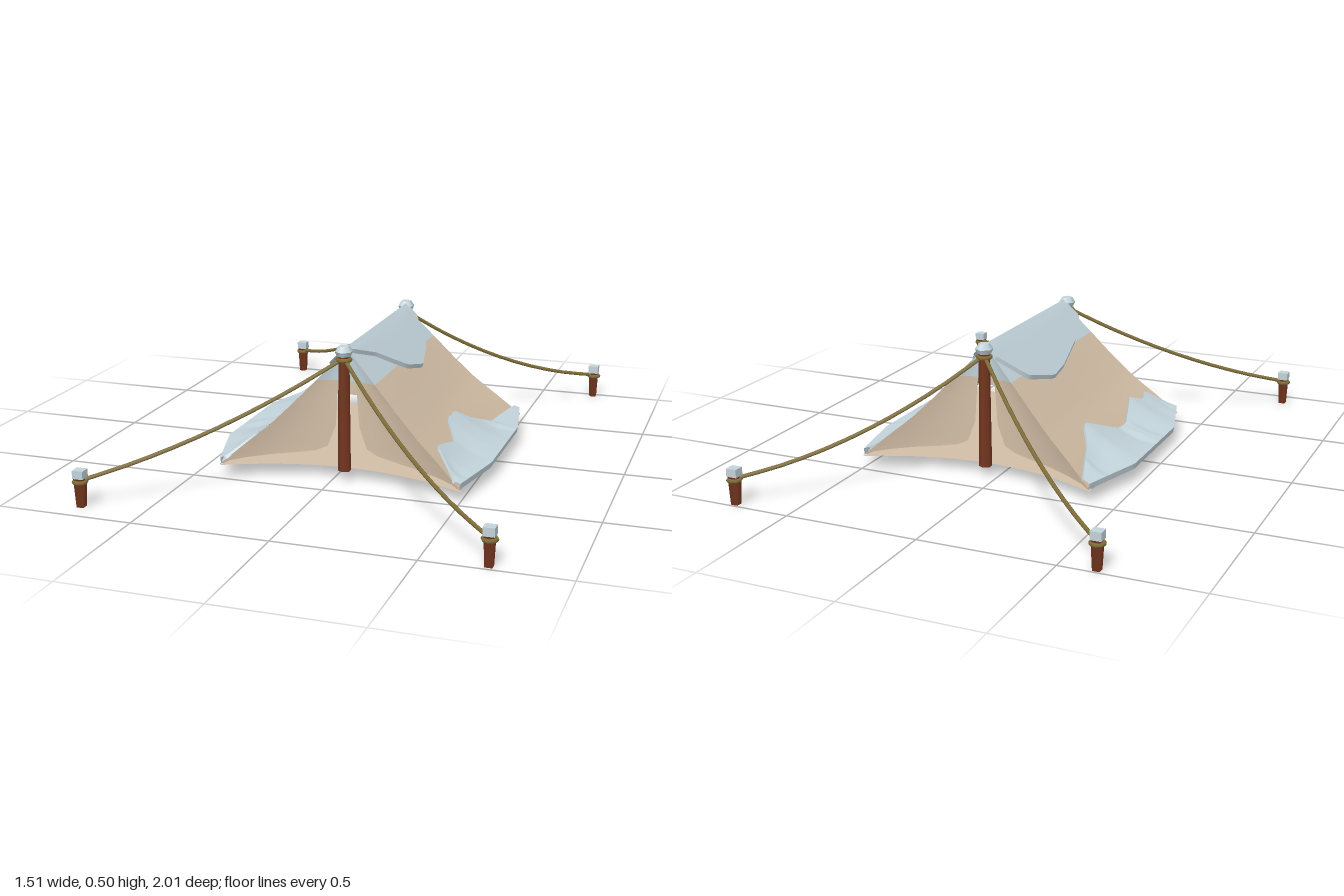
import * as THREE from 'three';
import { toCreasedNormals } from 'three/addons/utils/BufferGeometryUtils.js';

const mat = (name, color, side = THREE.FrontSide) => {
  const m = new THREE.MeshStandardMaterial({ color, side });
  m.name = name;
  return m;
};

// piecewise-linear lookup in [key, value] pairs with ascending keys
function lookup(pts, k) {
  if (k <= pts[0][0]) return pts[0][1];
  for (let i = 1; i < pts.length; i++) {
    const [a, va] = pts[i - 1], [b, vb] = pts[i];
    if (k <= b) return va + (vb - va) * (k - a) / (b - a);
  }
  return pts[pts.length - 1][1];
}

// surface from a grid of points; fn(u, v) with u, v in 0..1
function sheet(nu, nv, fn, crease = 0.7) {
  const pos = [], idx = [];
  for (let j = 0; j <= nv; j++) for (let i = 0; i <= nu; i++) pos.push(...fn(i / nu, j / nv));
  for (let j = 0; j < nv; j++) for (let i = 0; i < nu; i++) {
    const a = j * (nu + 1) + i, c = a + nu + 1;
    idx.push(a, a + 1, c, a + 1, c + 1, c);
  }
  const g = new THREE.BufferGeometry();
  g.setAttribute('position', new THREE.Float32BufferAttribute(pos, 3));
  g.setIndex(idx);
  g.computeVertexNormals();
  return toCreasedNormals(g, crease);
}

// tent shape: half width and end position by height
const TOP = 0.485, BASE = 0.045, SPLIT = 0.37;
const PROFILE = [[0.045, 0.455], [0.08, 0.415], [0.12, 0.37], [0.2, 0.275], [0.28, 0.195], [0.36, 0.12], [0.43, 0.053], [0.485, 0]];
const END = [[0.045, 0.48], [0.08, 0.465], [0.12, 0.45], [0.2, 0.422], [0.3, 0.398], [0.4, 0.378], [0.485, 0.36]];
const HOLE = [[0.045, 0.45], [0.06, 0.42], [0.075, 0.33], [0.085, 0.22], [0.095, 0.13], [0.12, 0.075], [0.2, 0.045], [0.34, 0.035], [0.37, 0.03]];
const halfWidth = (y, s) => lookup(PROFILE, y) - 0.035 * (1 - s * s) * ((TOP - y) / (TOP - BASE)) ** 2;
const endZ = (y) => lookup(END, y);
const lerp = THREE.MathUtils.lerp;

// height of the roof at a distance from the ridge
const BY_WIDTH = PROFILE.map(([y, d]) => [d, y]).reverse();
const roofY = (d) => lookup(BY_WIDTH, d);

// edges of the snow patches along z
const RIDGE_SNOW = {
  1: [[-0.38, 0.03], [-0.2, 0.125], [-0.06, 0.155], [0.05, 0.13], [0.2, 0.055], [0.36, 0.008]],
  [-1]: [[-0.36, 0.04], [-0.25, 0.125], [-0.1, 0.16], [0, 0.15], [0.2, 0.11], [0.36, 0.06]],
};
const BASE_SNOW = {
  1: [[-0.48, 0.072], [-0.22, 0.08], [-0.1, 0.125], [-0.02, 0.17], [0.08, 0.17], [0.2, 0.12], [0.28, 0.135], [0.37, 0.15], [0.43, 0.1], [0.48, 0.07]],
  [-1]: [[-0.48, 0.075], [-0.33, 0.11], [-0.27, 0.125], [-0.17, 0.17], [0.03, 0.1], [0.1, 0.1], [0.28, 0.15], [0.35, 0.125], [0.41, 0.145], [0.48, 0.07]],
};

export function createModel() {
  const cloth = mat('canvas', 0xd2bea6, THREE.DoubleSide);
  const snow = mat('snow', 0xc2d3da, THREE.DoubleSide);
  const wood = mat('wood', 0x74361f);
  const rope = mat('rope', 0x82703a);

  const model = new THREE.Group();
  model.name = 'tent';
  const add = (parent, name, geo, material, x = 0, y = 0, z = 0) => {
    const m = new THREE.Mesh(geo, material);
    m.name = name;
    m.position.set(x, y, z);
    parent.add(m);
    return m;
  };

  const shelter = new THREE.Group();
  shelter.name = 'shelter';
  shelter.position.x = 0.05;
  model.add(shelter);

  for (const side of [1, -1]) {
    // sagging roof slope, frosted near the ridge
    const roof = (y0, y1) => sheet(16, 14, (u, v) => {
      const s = u * 2 - 1, y = lerp(y0, y1, v);
      return [side * halfWidth(y, s), y, s * endZ(y)];
    }, 1);
    add(shelter, 'roofSlope', roof(SPLIT, BASE), cloth);
    add(shelter, 'frostedRoof', roof(TOP, SPLIT), snow);

    // snow drift along the foot of the slope
    const rim = side > 0 ? 0.05 : 0.075;
    add(shelter, 'baseSnow', sheet(48, 7, (u, v) => {
      const s = u * 2 - 1, k = Math.round(v * 7);
      const yb = lookup(BASE_SNOW[side], s * 0.48), d0 = halfWidth(yb, s);
      const R = 0.452 + rim * Math.min(1, (1 - Math.abs(s)) / 0.54);
      let d, y;
      if (k === 0) [d, y] = [d0, yb - 0.002];
      else if (k <= 5) {
        const t = (k - 1) / 4;
        [d, y] = [lerp(d0 + 0.006, R, t), lerp(yb + 0.008, 0.072, t) - 0.012 * Math.sin(Math.PI * t) * (yb > 0.1 ? 1 : 0)];
      } else if (k === 6) [d, y] = [R - 0.004, 0.05];
      else [d, y] = [halfWidth(BASE, s), BASE];
      return [side * d, y, s * endZ(Math.max(BASE, y - 0.02))];
    }), snow);

    // end walls with a tied-back doorway
    for (const end of [1, -1]) {
      const wall = (y0, y1, rows, open) => sheet(8, rows, (u, v) => {
        const y = lerp(y0, y1, v), w = lookup(PROFILE, y);
        const d = lerp(open ? Math.min(w, lookup(HOLE, y)) : 0, w, u);
        const f = w > 0 ? d / w : 0;
        return [side * d, y, end * (0.36 + (endZ(y) - 0.36) * f * f)];
      }, 1);
      add(shelter, 'endWall', wall(SPLIT, 0.05, 32, true), cloth);
      add(shelter, 'frostedEndWall', wall(TOP, SPLIT, 4, false), snow);
    }
  }

  // groundsheet with inward-curving edges
  add(shelter, 'groundsheet', sheet(16, 16, (u, v) => {
    const a = u * 2 - 1, s = v * 2 - 1;
    return [a * halfWidth(BASE, s), BASE - 0.003, s * (0.36 + 0.12 * a * a)];
  }), cloth);

  // snow lying over the ridge
  add(shelter, 'ridgeSnow', sheet(14, 32, (u, v) => {
    const s = v * 2 - 1, z = s * 0.36, k = Math.round(u * 14);
    const a = Math.min(1, Math.max(-1, (k - 7) / 6)), side = a < 0 ? -1 : 1;
    const d = Math.abs(a) * lookup(RIDGE_SNOW[side], z);
    const lift = k === 0 || k === 14 ? -0.002 : 0.014;
    const y = roofY(d) + lift;
    return [side * (d + (lift > 0 && d > 0.01 ? 0.004 : 0)), y, s * endZ(Math.min(TOP, y))];
  }), snow);

  // tent poles with snow caps and rope lashings
  const lash = (r) => new THREE.TorusGeometry(r, 0.008, 5, 8).rotateX(Math.PI / 2);
  for (const end of [1, -1]) {
    const z = end * 0.383;
    add(model, 'pole', new THREE.CylinderGeometry(0.02, 0.024, 0.43, 6), wood, 0.045, 0.255, z);
    add(model, 'poleSnowCap', new THREE.CylinderGeometry(0.02, 0.033, 0.02, 6), snow, 0.045, 0.495, z);
    add(model, 'poleSnowCapBase', new THREE.CylinderGeometry(0.033, 0.025, 0.018, 6), snow, 0.045, 0.476, z);
    add(model, 'poleLashing', lash(0.024), rope, 0.045, 0.455, z);
  }

  // stakes and sagging guy ropes: [x, z, sag]
  for (const [x, z, sag] of [[-0.73, 0.915, 0.04], [0.725, 0.975, 0.06], [-0.63, -0.98, 0.06], [0.72, -0.98, 0.06]]) {
    add(model, 'stake', new THREE.CylinderGeometry(0.024, 0.018, 0.105, 4).rotateY(Math.PI / 4), wood, x, 0.0525, z);
    add(model, 'stakeSnowCap', new THREE.BoxGeometry(0.04, 0.03, 0.038), snow, x, 0.12, z);
    add(model, 'stakeLashing', lash(0.022), rope, x, 0.092, z);
    const a = new THREE.Vector3(0.045, 0.46, Math.sign(z) * 0.385), b = new THREE.Vector3(x, 0.095, z);
    const pts = [];
    for (let i = 0; i <= 6; i++) {
      const t = i / 6, p = a.clone().lerp(b, t);
      p.y -= 4 * sag * t * (1 - t);
      pts.push(p);
    }
    add(model, 'guyRope', new THREE.TubeGeometry(new THREE.CatmullRomCurve3(pts), 12, 0.0075, 5), rope);
  }
  return model;
}
